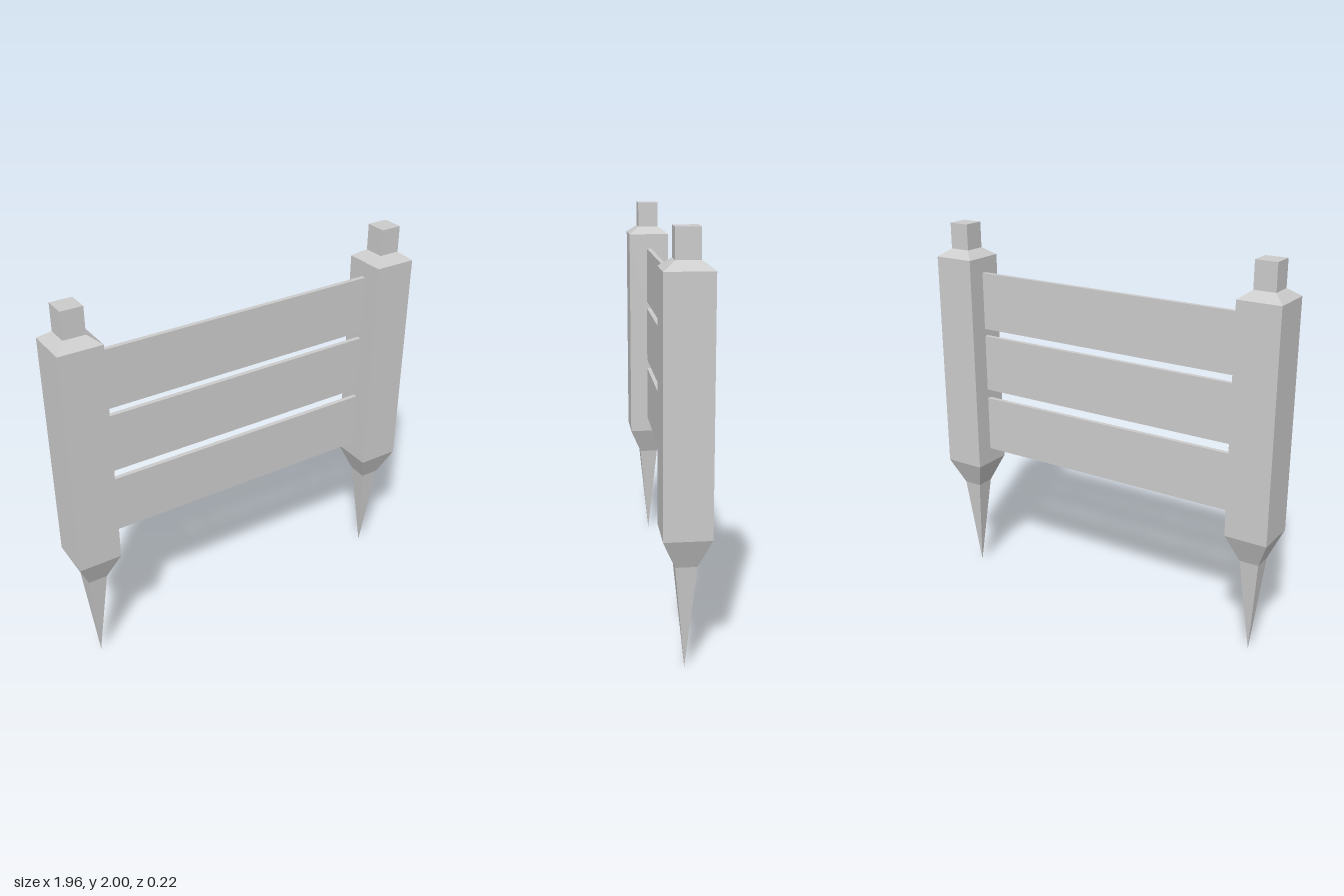
import * as THREE from 'three';

const material = new THREE.MeshStandardMaterial({ color: 0xcccccc, flatShading: true });

// Square post turned from a profile of [half width, height] pairs
function createPost(name, x) {
  const profile = [
    [0, 0],          // spike tip
    [0.05, 0.515],   // top of spike
    [0.11, 0.66],    // shaft bottom
    [0.11, 1.825],   // shaft top
    [0.055, 1.865],  // sloped shoulder
    [0.055, 2],      // finial block
    [0, 2],
  ].map(([half, y]) => new THREE.Vector2(half * Math.SQRT2, y));
  const geometry = new THREE.LatheGeometry(profile, 4, Math.PI / 4).toNonIndexed();
  geometry.computeVertexNormals();
  const post = new THREE.Mesh(geometry, material);
  post.name = name;
  post.position.x = x;
  return post;
}

// Thin plank spanning the gap between the posts
function createPlank(name, bottom, top) {
  const plank = new THREE.Mesh(new THREE.BoxGeometry(1.52, top - bottom, 0.024), material);
  plank.name = name;
  plank.position.y = (bottom + top) / 2;
  return plank;
}

export function createModel() {
  const fence = new THREE.Group();
  fence.name = 'fence';
  fence.add(createPost('leftPost', 0.87), createPost('rightPost', -0.87));
  fence.add(
    createPlank('lowerPlank', 0.745, 1.045),
    createPlank('middlePlank', 1.095, 1.4),
    createPlank('upperPlank', 1.44, 1.745),
  );
  return fence;
}
